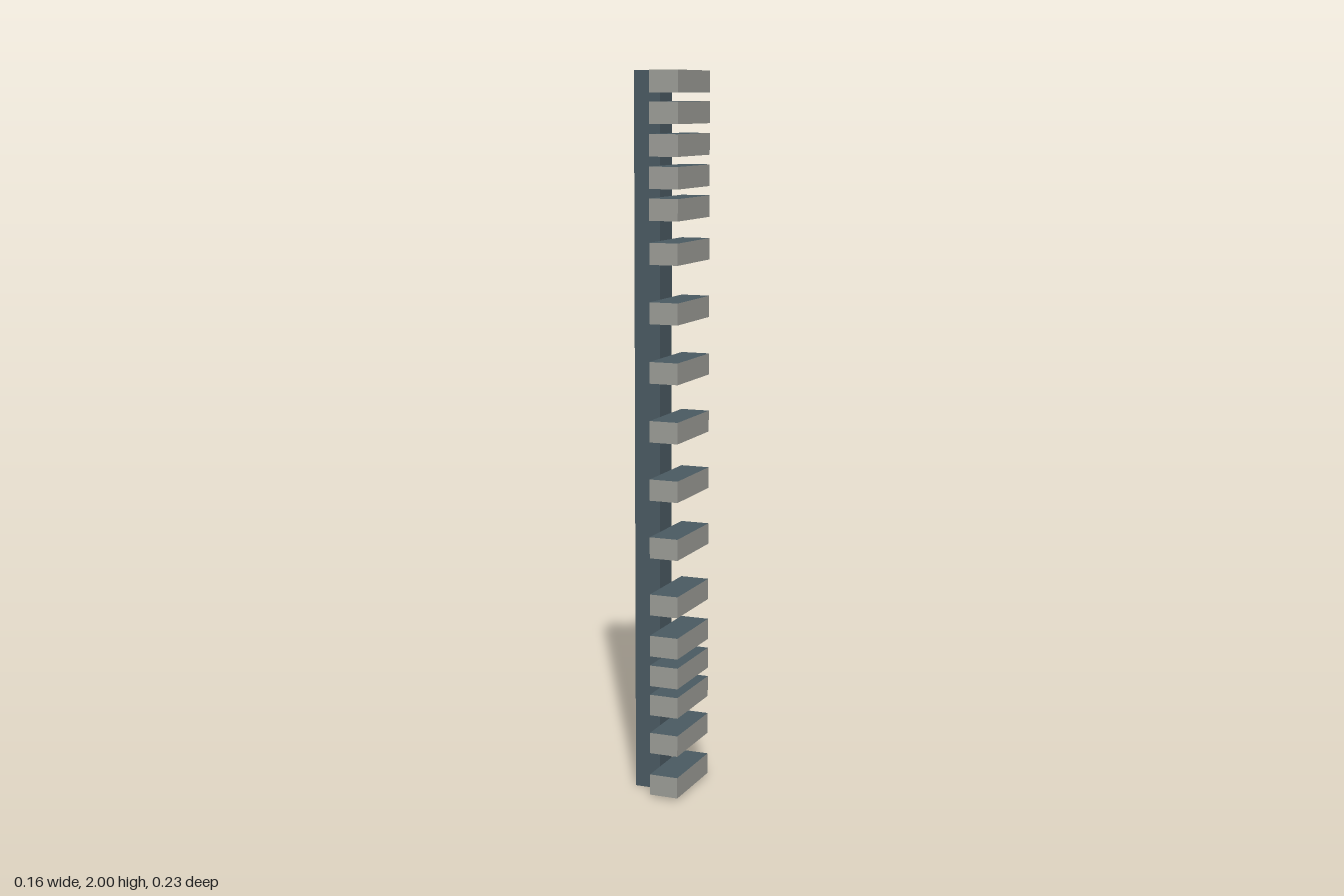
import * as THREE from 'three';

const slate = new THREE.MeshStandardMaterial({ color: 0x4a5a62, side: THREE.DoubleSide });
slate.name = 'slate';
const stone = new THREE.MeshStandardMaterial({ color: 0x9c9d97, side: THREE.DoubleSide });
stone.name = 'stone grey';

// Heights of the upper face of each ledge
const LEDGE_TOPS = [
  2.0, 1.918, 1.833, 1.748, 1.664, 1.547, 1.388, 1.227, 1.066,
  0.905, 0.744, 0.583, 0.466, 0.381, 0.297, 0.187, 0.066,
];
const INNER = -0.004, OUTER = 0.078; // ledge extent in x
const BACK = -0.114, FRONT = 0.114;  // ledge extent in z
const DROP = 0.059;                  // ledge height

function panel(name, width, height, material) {
  const mesh = new THREE.Mesh(new THREE.PlaneGeometry(width, height), material);
  mesh.name = name;
  return mesh;
}

// Thin open shell: top, outer face and front end; underside, inner side and back end are open
function ledge(top) {
  const group = new THREE.Group();
  group.name = 'ledge';
  const depth = OUTER - INNER, length = FRONT - BACK;
  const midX = (INNER + OUTER) / 2, midY = -DROP / 2;

  const cover = panel('ledgeTop', depth, length, slate);
  cover.rotation.x = -Math.PI / 2;
  cover.position.set(midX, 0, 0);

  const face = panel('ledgeFace', length, DROP, stone);
  face.rotation.y = Math.PI / 2;
  face.position.set(OUTER, midY, 0);

  const end = panel('ledgeEnd', depth, DROP, stone);
  end.position.set(midX, midY, FRONT);

  group.add(cover, face, end);
  group.position.y = top;
  return group;
}

export function createModel() {
  const model = new THREE.Group();
  model.name = 'ledgedPost';

  // Square upright post
  const post = new THREE.Mesh(new THREE.BoxGeometry(0.075, 2, 0.083), slate);
  post.name = 'post';
  post.position.set(-0.0415, 1, 0);
  model.add(post);

  for (const top of LEDGE_TOPS) model.add(ledge(top));
  return model;
}
